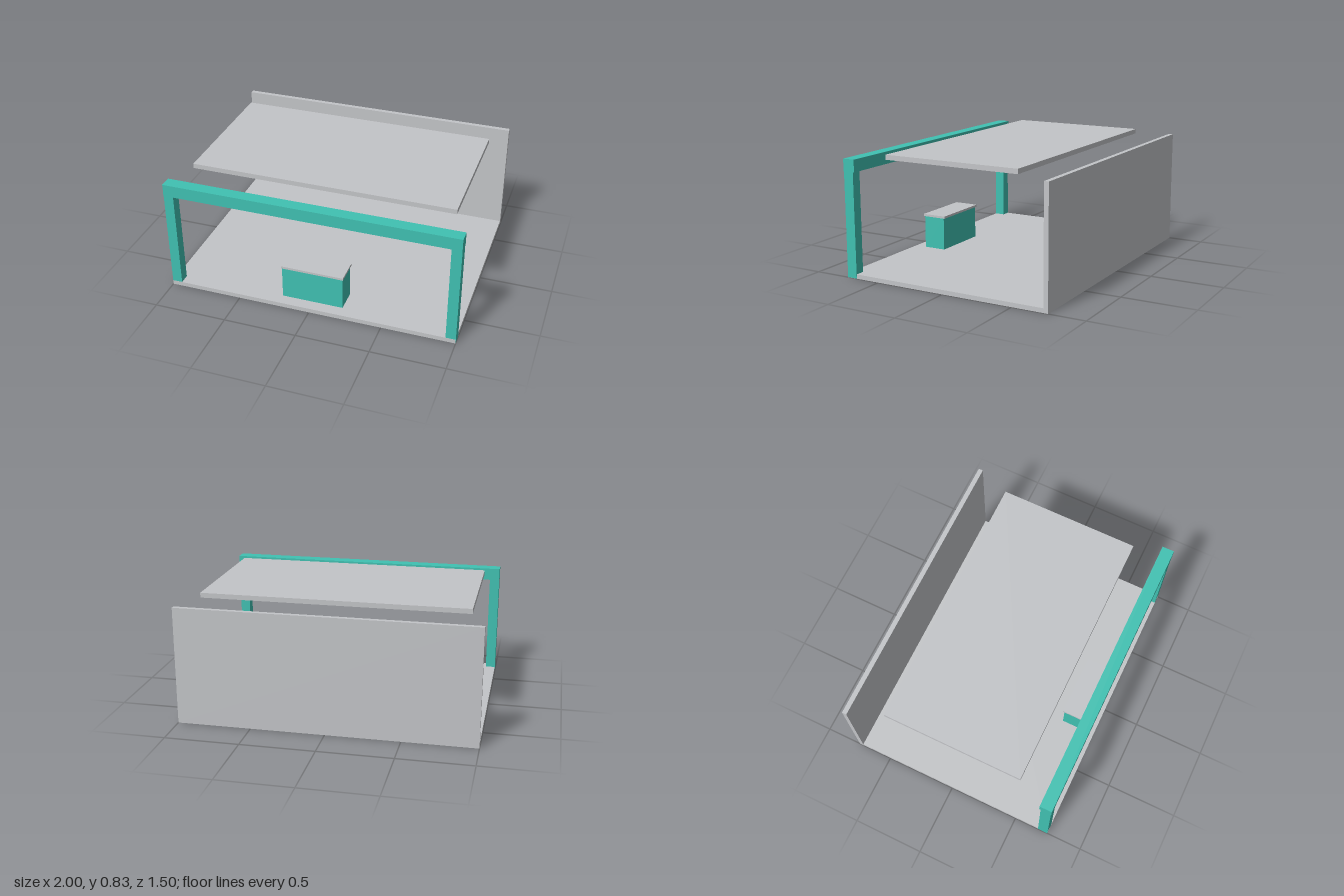
import * as THREE from 'three';

export function createModel() {
  const group = new THREE.Group();
  const grey = new THREE.MeshStandardMaterial({ color: 0xc3c5c8 });
  grey.name = 'light grey';
  const teal = new THREE.MeshStandardMaterial({ color: 0x40c1b2 });
  teal.name = 'teal';

  // Box given by its extents along each axis
  function box(name, material, [x0, x1], [y0, y1], [z0, z1]) {
    const mesh = new THREE.Mesh(new THREE.BoxGeometry(x1 - x0, y1 - y0, z1 - z0), material);
    mesh.position.set((x0 + x1) / 2, (y0 + y1) / 2, (z0 + z1) / 2);
    mesh.name = name;
    group.add(mesh);
  }

  // Stall shell: floor, back wall and floating ceiling panel
  box('floor', grey, [-0.999, 0.999], [0, 0.03], [-0.748, 0.748]);
  box('backWall', grey, [-1, 1], [0, 0.8], [-0.75, -0.718]);
  box('ceilingPanel', grey, [-0.903, 0.9], [0.8, 0.833], [-0.49, 0.485]);

  // Front frame: two posts carrying a slightly deeper beam
  box('leftPost', teal, [0.932, 1], [0.001, 0.716], [0.675, 0.747]);
  box('rightPost', teal, [-1, -0.932], [0.001, 0.716], [0.675, 0.747]);
  box('frontBeam', teal, [-1, 1], [0.716, 0.8], [0.665, 0.75]);

  // Reception counter
  box('counterBody', teal, [-0.215, 0.21], [0.02, 0.26], [0.507, 0.667]);
  box('counterTop', grey, [-0.22, 0.215], [0.26, 0.276], [0.498, 0.674]);

  return group;
}
